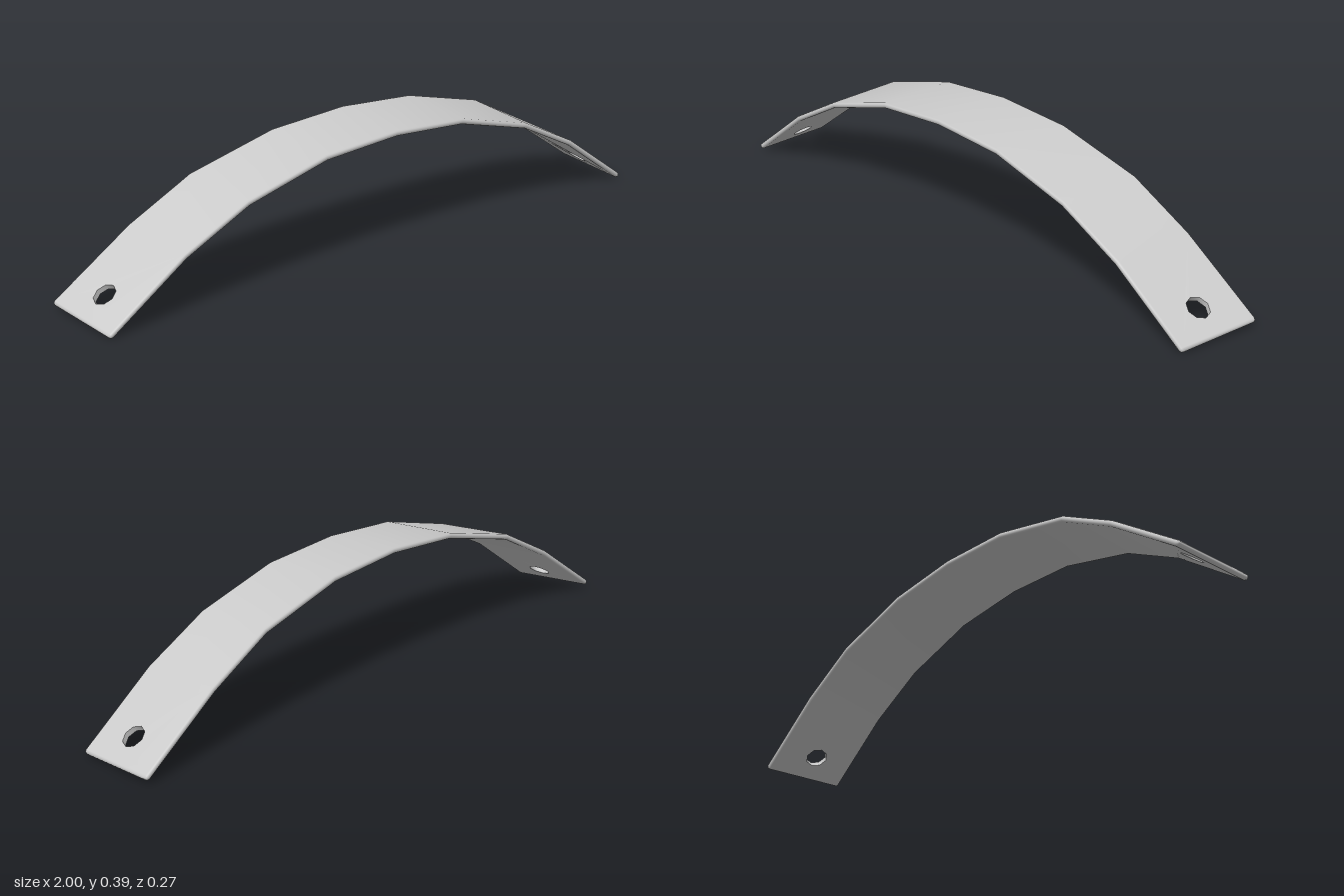
import * as THREE from 'three';
import { mergeVertices } from 'three/addons/utils/BufferGeometryUtils.js';

// middle of the plate along its back and front edges, from the centre to the tip
const BACK = [[0, .381, -.12], [.26, .363, -.122], [.545, .291, -.127], [.747, .187, -.132], [.997, .0195, -.137]];
const FRONT = [[0, .365, .135], [.258, .348, .135], [.53, .277, .134], [.737, .175, .131], [.979, .0073, .127]];
const HALF = .0085, ROUND = .0065, R = ROUND / .265, END = .027;

const edgePoint = (edge, k) => {
  const [x, y, z] = edge[Math.abs(k)];
  return new THREE.Vector3(Math.sign(k) * x, y, z);
};
const middle = k => edgePoint(BACK, k).lerp(edgePoint(FRONT, k), .5);
function normalAt(k) {
  const along = middle(Math.min(k + 1, 4)).sub(middle(Math.max(k - 1, -4)));
  return edgePoint(FRONT, k).sub(edgePoint(BACK, k)).cross(along).normalize();
}

// point on the plate: s along (-4..4), v across (0 back, 1 front), w through the thickness
function plate(s, v, w) {
  const k = Math.min(Math.floor(s), 3);
  const at = i => edgePoint(BACK, i).lerp(edgePoint(FRONT, i), v).addScaledVector(normalAt(i), w);
  return at(k).lerp(at(k + 1), s - k);
}

// rounded cross-section, drawn in toward the middle at the tips
function section(s, inset) {
  const ring = [];
  for (let q = 0; q < 4; q++) for (let j = 0; j < 3; j++) {
    const a = (q + j / 2) * Math.PI / 2;
    const v = (q === 0 || q === 3 ? 1 - R : R) + R * Math.cos(a);
    const w = (q < 2 ? 1 : -1) * (HALF - ROUND) + ROUND * Math.sin(a);
    ring.push(plate(s, .5 + (v - .5) * (1 - 2 * R * inset), w * (1 - .7 * inset)));
  }
  return ring;
}

function toGeometry(points) {
  const g = mergeVertices(new THREE.BufferGeometry().setFromPoints(points), 1e-5);
  g.computeVertexNormals();
  return g;
}

export function createModel() {
  const group = new THREE.Group();
  group.name = 'curvedStrap';
  const material = new THREE.MeshStandardMaterial({ color: 0xcccccc });
  const add = (points, name) => {
    const mesh = new THREE.Mesh(toGeometry(points), material);
    mesh.name = name;
    group.add(mesh);
  };

  // strap body, leaving the flat faces of the two end panels open
  const half = [[1, 0], [2, 0], [3, 0], [4 - END, 0], [4 - .3 * END, .3], [4, 1]];
  const stations = [...half.map(([s, i]) => [-s, i]).reverse(), [0, 0], ...half];
  const rings = stations.map(([s, i]) => section(s, i));
  const body = [];
  for (let k = 0; k < rings.length - 1; k++) {
    const holed = Math.abs(stations[k][0] + stations[k + 1][0]) / 2;
    for (let j = 0; j < 12; j++) {
      if (holed > 3 && holed < 4 - END && (j === 2 || j === 8)) continue;
      const n = (j + 1) % 12;
      const a = rings[k][j], b = rings[k + 1][j], c = rings[k + 1][n], d = rings[k][n];
      body.push(a, b, c, a, c, d);
    }
  }
  // tip caps
  const first = rings[0], last = rings[rings.length - 1];
  for (let j = 1; j < 11; j++) {
    body.push(first[0], first[j], first[j + 1]);
    body.push(last[0], last[j + 1], last[j]);
  }

  // end panels with an eight-sided hole
  for (const side of [-1, 1]) {
    const inner = side * 3, outer = side * (4 - END);
    const shape = new THREE.Shape([[inner, R], [outer, R], [outer, 1 - R], [inner, 1 - R]]
      .map(p => new THREE.Vector2(...p)));
    const hole = [];
    for (let i = 0; i < 8; i++) {
      const a = i * Math.PI / 4;
      hole.push(new THREE.Vector2(side * 3.69 + .115 * Math.cos(a), .515 + .13 * Math.sin(a)));
    }
    shape.holes.push(new THREE.Path(hole));
    const flat = new THREE.ShapeGeometry(shape).toNonIndexed().attributes.position;
    for (let t = 0; t < flat.count; t += 3) {
      const corner = (i, w) => plate(flat.getX(t + i), flat.getY(t + i), w);
      body.push(corner(0, -HALF), corner(1, -HALF), corner(2, -HALF));
      body.push(corner(0, HALF), corner(2, HALF), corner(1, HALF));
    }
    // hole wall
    const wall = [];
    hole.forEach((p, i) => {
      const q = hole[(i + 1) % 8];
      const a = plate(p.x, p.y, HALF), b = plate(p.x, p.y, -HALF);
      const c = plate(q.x, q.y, -HALF), d = plate(q.x, q.y, HALF);
      wall.push(a, b, c, a, c, d);
    });
    add(wall, side > 0 ? 'leftHoleWall' : 'rightHoleWall');
  }
  add(body, 'strapBody');
  return group;
}
